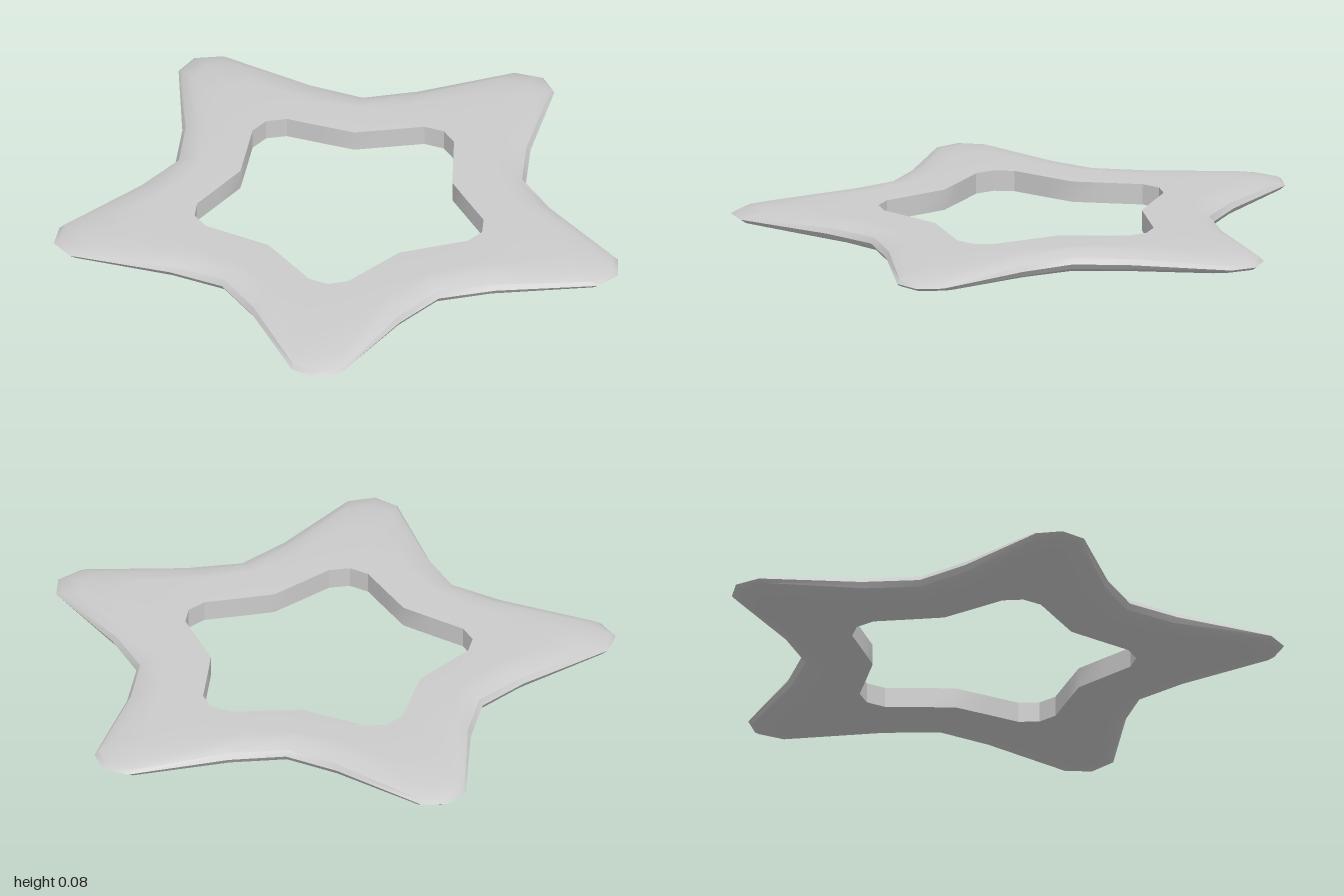
import * as THREE from 'three';
import { toCreasedNormals } from 'three/addons/utils/BufferGeometryUtils.js';

const ARMS = 5, CENTRE_Z = 0.09, MID_Y = 0.043;

// Half an arm, tip to notch: outer and inner outline as [across, along],
// then the bevel rings as [inset from the outer edge, half thickness]
const STATIONS = [
  { outer: [0, 1.05], inner: [0, 0.535], rings: [[0.02, 0.012], [0.09, 0.026], [0.24, 0.038]] },
  { outer: [0.088, 1.01], inner: [0.07, 0.51], rings: [[0.02, 0.012], [0.09, 0.026], [0.24, 0.038]] },
  { outer: [0.26, 0.69], inner: [0.15, 0.415], rings: [[0.015, 0.019], [0.07, 0.037], [0.14, 0.041]] },
  { outer: [0.383, 0.528], inner: [0.232, 0.319], rings: [[0.014, 0.02], [0.06, 0.04], [0.1, 0.041]] },
];
const INNER_HALF = 0.037;

// Closed cross-section: inner rim, over the top, round the outer edge, back below
function section(station, side, angle) {
  const c = Math.cos(angle), s = Math.sin(angle);
  const place = ([across, along], shift) => {
    const a = across * side;
    return new THREE.Vector3(a * c + along * s + shift, 0, a * s - along * c + CENTRE_Z);
  };
  const outer = place(station.outer, 0);
  const inner = place(station.inner, -0.01);
  const length = outer.distanceTo(inner);
  const top = [[length, INNER_HALF], ...[...station.rings].reverse()];
  const half = [...top, [0, 0], ...[...top].reverse().map(([d, h]) => [d, -h])];
  return half.map(([d, h]) => {
    const p = outer.clone().lerp(inner, d / length);
    p.y = MID_Y + h;
    return p;
  });
}

export function createModel() {
  // Sections clockwise round the star, six to an arm
  const sections = [];
  for (let arm = 0; arm < ARMS; arm++) {
    const angle = (arm * Math.PI * 2) / ARMS;
    for (const k of [-2, -1, 0, 1, 2, 3]) {
      sections.push(section(STATIONS[Math.abs(k)], Math.sign(k), angle));
    }
  }

  // Skin the sections into a closed ring
  const n = sections.length, m = sections[0].length;
  const positions = sections.flat().flatMap((p) => [p.x, p.y, p.z]);
  const index = [];
  for (let i = 0; i < n; i++) {
    for (let j = 0; j < m; j++) {
      const i2 = (i + 1) % n, j2 = (j + 1) % m;
      const a = i * m + j, b = i2 * m + j, c = i2 * m + j2, d = i * m + j2;
      index.push(a, b, c, a, c, d);
    }
  }
  const geometry = new THREE.BufferGeometry();
  geometry.setAttribute('position', new THREE.Float32BufferAttribute(positions, 3));
  geometry.setIndex(index);

  const star = new THREE.Mesh(
    toCreasedNormals(geometry, THREE.MathUtils.degToRad(30)),
    new THREE.MeshStandardMaterial({ color: 0xcccccc })
  );
  star.name = 'starRing';

  const group = new THREE.Group();
  group.name = 'openStar';
  group.add(star);
  return group;
}
